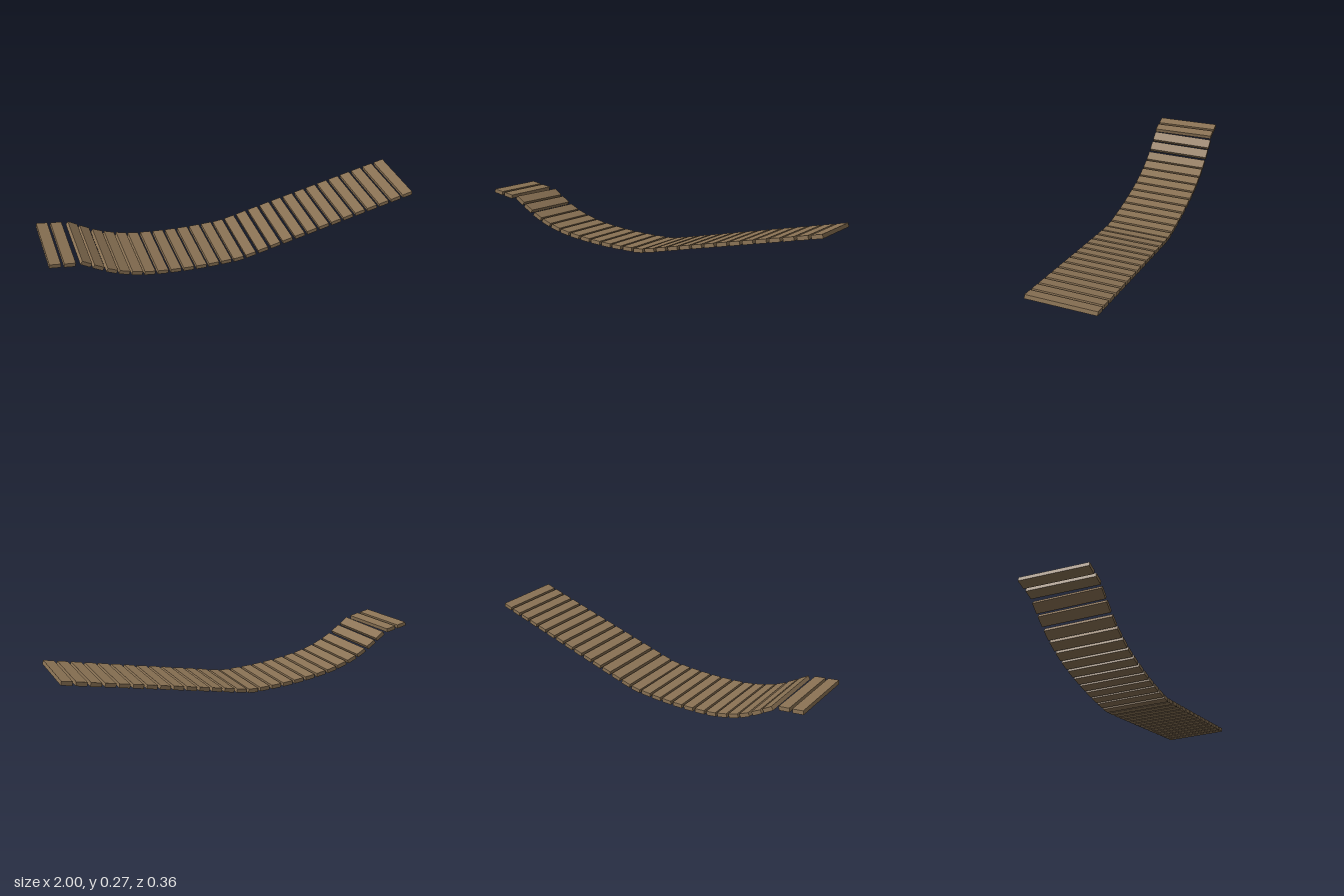
import * as THREE from 'three';

// Centre line of the sagging walkway: x, y of each plank up to the low point
const SAG = [
  [-0.966, 0.25], [-0.895, 0.236], [-0.815, 0.209], [-0.757, 0.169], [-0.692, 0.129],
  [-0.63, 0.1], [-0.565, 0.077], [-0.5, 0.059], [-0.431, 0.046], [-0.361, 0.036],
  [-0.292, 0.028], [-0.222, 0.022], [-0.153, 0.018], [-0.083, 0.016], [-0.014, 0.0155],
];
const STRAIGHT_PLANKS = 14;
const WIDTH = 0.056, THICKNESS = 0.021, DEPTH = 0.35;

export function createModel() {
  const bridge = new THREE.Group();
  bridge.name = 'plankBridge';
  const wood = new THREE.MeshStandardMaterial({ color: 0x8b7355 });
  wood.name = 'weatheredWood';

  // Straight rise towards the left end
  const centres = SAG.map((p) => p.slice());
  for (let i = 0; i < STRAIGHT_PLANKS; i++) {
    const t = i / (STRAIGHT_PLANKS - 1);
    centres.push([0.055 + t * 0.913, 0.025 + t * 0.179]);
  }

  const geometry = new THREE.BoxGeometry(WIDTH, THICKNESS, DEPTH);
  const last = centres.length - 1;
  centres.forEach(([x, y], i) => {
    const landing = i < 2; // the two planks resting on the bank
    const a = centres[landing ? 0 : Math.max(i - 1, 2)];
    const b = centres[landing ? 1 : Math.min(i + 1, last)];
    const plank = new THREE.Mesh(geometry, wood);
    plank.name = `plank${i + 1}`;

    // Slight sideways drift, roll and yaw along the span
    const drift = landing ? 0.004 : -0.007 * Math.cos((x + 0.2) * 1.3);
    const yaw = x < 0 ? -0.025 * x : -0.012 * x;
    const roll = landing ? 0 : -0.017;
    plank.position.set(x, y, drift);
    plank.rotation.set(roll, yaw, Math.atan2(b[1] - a[1], b[0] - a[0]), 'YXZ');
    bridge.add(plank);
  });
  return bridge;
}
